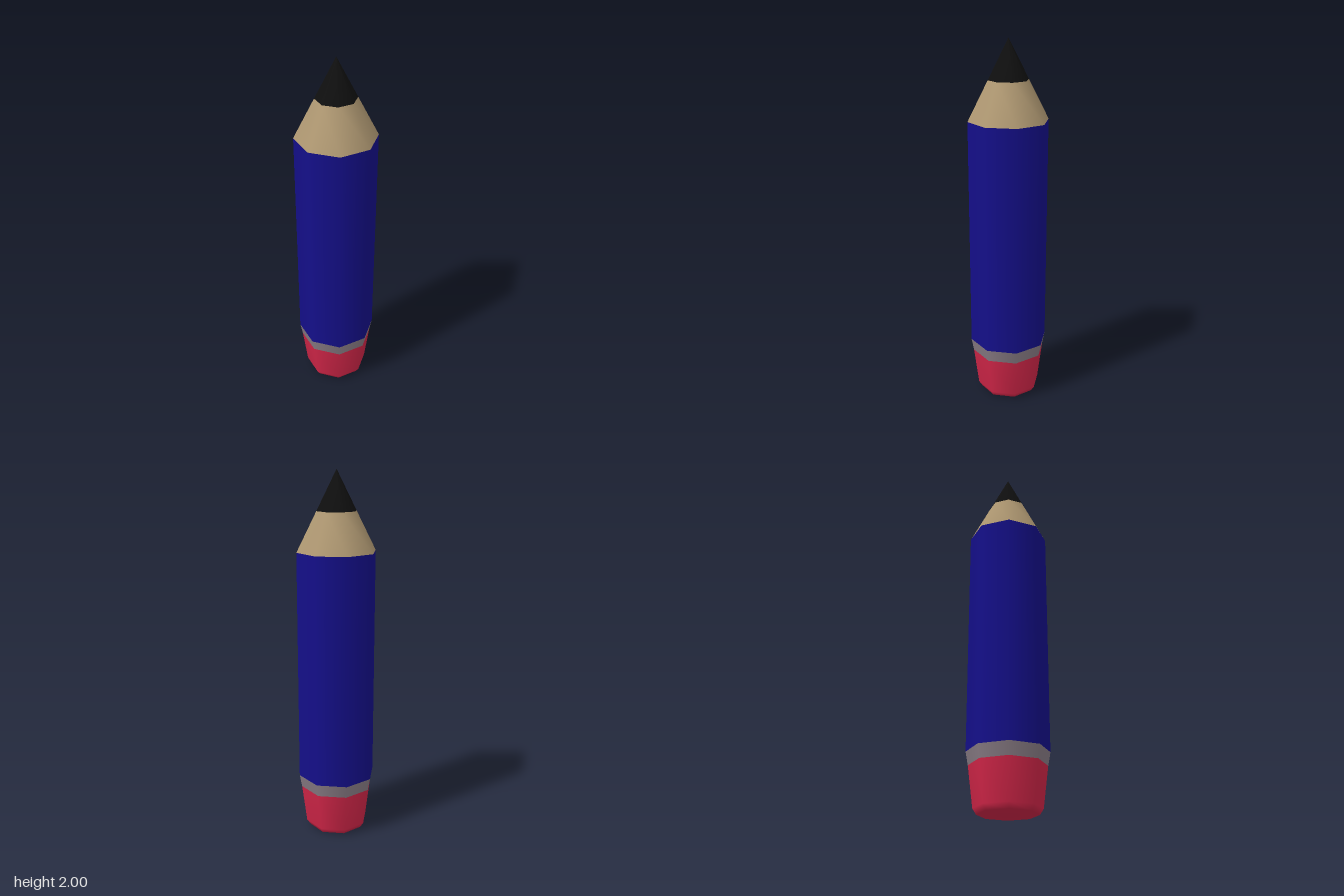
import * as THREE from 'three';

const SIDES = 8;

// One eight-sided band of the pencil, from [radius, height] pairs, bottom to top
function band(name, color, profile) {
  const points = profile.map(([r, y]) => new THREE.Vector2(r, y));
  const mesh = new THREE.Mesh(
    new THREE.LatheGeometry(points, SIDES),
    new THREE.MeshStandardMaterial({ color })
  );
  mesh.name = name;
  return mesh;
}

export function createModel() {
  const pencil = new THREE.Group();
  pencil.name = 'pencil';
  pencil.add(
    // Tapered rubber with a small bevel and a closed underside
    band('eraser', 0xd42649, [[0, 0], [0.157, 0.005], [0.176, 0.035], [0.203, 0.25]]),
    // Metal collar between rubber and shaft
    band('ferrule', 0x8a7d86, [[0.203, 0.25], [0.216, 0.32]]),
    // Painted shaft
    band('shaft', 0x140f8a, [[0.216, 0.32], [0.216, 1.58]]),
    // Sharpened wood
    band('woodCone', 0xae9771, [[0.216, 1.58], [0.108, 1.79]]),
    // Lead point
    band('leadTip', 0x0f0f0f, [[0.108, 1.79], [0, 2]])
  );
  return pencil;
}
